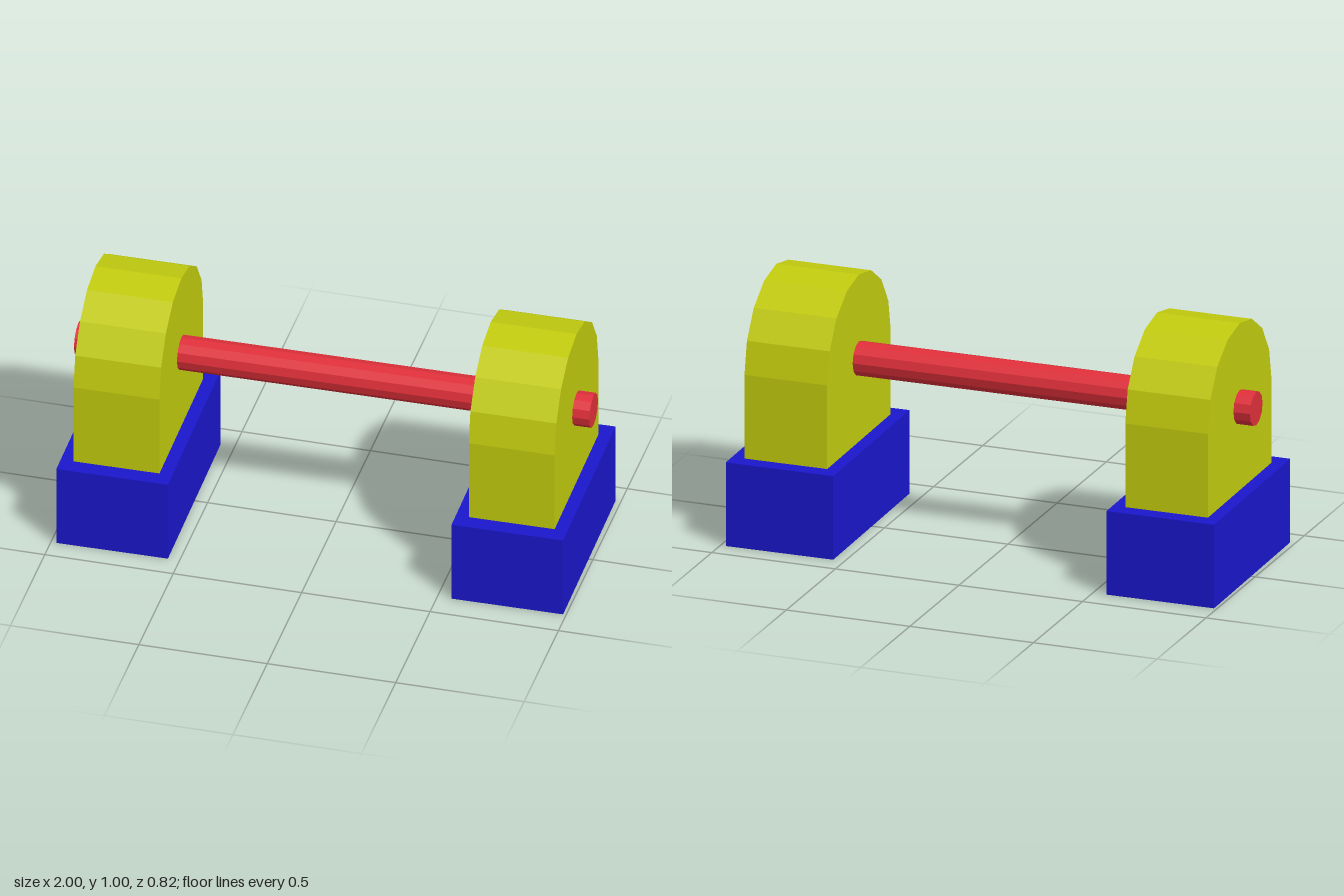
import * as THREE from 'three';

const BASE_H = 1 / 3, AXLE_Y = 2 / 3, R = 1 / 3, WIDTH = 1 / 3;
const paint = (color) => new THREE.MeshStandardMaterial({ color, flatShading: true });

function part(name, geometry, material, x, y) {
  const mesh = new THREE.Mesh(geometry, material);
  mesh.name = name;
  mesh.position.set(x, y, 0);
  return mesh;
}

// Upright with straight sides and a faceted half-round top
function archGeometry() {
  const shape = new THREE.Shape();
  shape.moveTo(-R, BASE_H);
  shape.lineTo(R, BASE_H);
  for (let i = 0; i <= 8; i++) {
    const a = (i / 8) * Math.PI;
    shape.lineTo(R * Math.cos(a), AXLE_Y + R * Math.sin(a));
  }
  shape.closePath();
  const geometry = new THREE.ExtrudeGeometry(shape, { depth: WIDTH, bevelEnabled: false });
  return geometry.translate(0, 0, -WIDTH / 2).rotateY(Math.PI / 2);
}

export function createModel() {
  const model = new THREE.Group();
  model.name = 'axleStand';
  const blue = paint(0x1a16cc), yellow = paint(0xc2cc0e), red = paint(0xe0303a);

  // Two mirrored supports, each a base block with an arched upright
  const arch = archGeometry();
  const block = new THREE.BoxGeometry(0.433, BASE_H, 0.8);
  for (const [side, s] of [['left', 1], ['right', -1]]) {
    const support = new THREE.Group();
    support.name = side + 'Support';
    support.add(
      part(side + 'Base', block, blue, s * 0.767, BASE_H / 2),
      part(side + 'Upright', arch, yellow, s * 0.767, 0),
    );
    model.add(support);
  }

  // Twelve-sided rod through both uprights
  const rod = new THREE.CylinderGeometry(0.0667, 0.0667, 2, 12).rotateZ(Math.PI / 2);
  model.add(part('rod', rod, red, 0, AXLE_Y));

  // The whole stand is turned very slightly
  model.rotation.y = 0.0117;
  return model;
}
